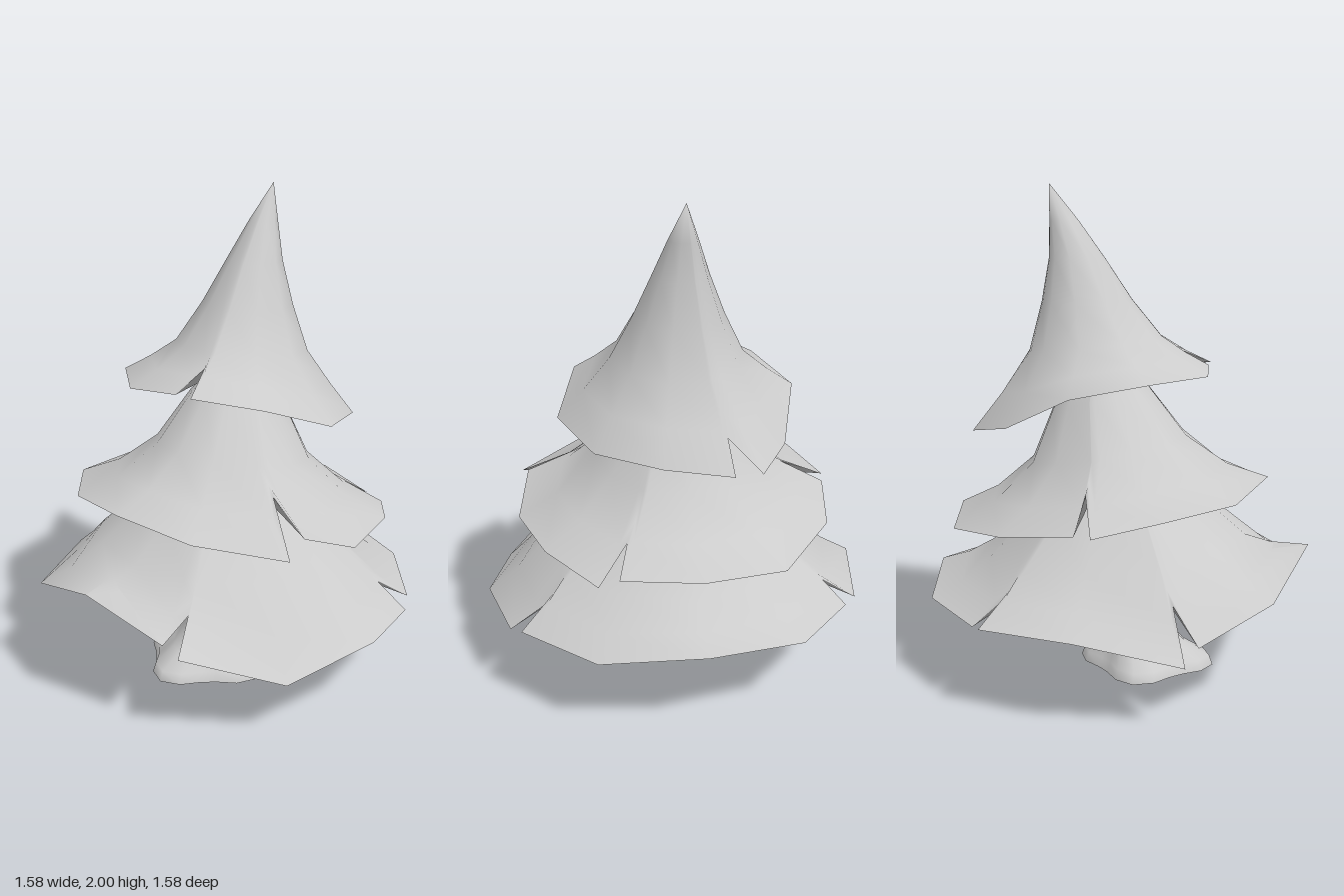
import * as THREE from 'three';
import { mergeVertices } from 'three/addons/utils/BufferGeometryUtils.js';

const material = new THREE.MeshStandardMaterial({ color: 0xcccccc, side: THREE.DoubleSide });

// Skin closed rows of [x, y, z] points, ordered from top to bottom
function loft(name, rows) {
  const n = rows[0].length, index = [];
  for (let i = 0; i < rows.length - 1; i++) {
    for (let j = 0; j < n; j++) {
      const a = i * n + j, b = i * n + (j + 1) % n;
      index.push(a, b, a + n, b, b + n, a + n);
    }
  }
  let geo = new THREE.BufferGeometry();
  geo.setAttribute('position', new THREE.Float32BufferAttribute(rows.flat(2), 3));
  geo.setIndex(index);
  geo = mergeVertices(geo);
  geo.computeVertexNormals();
  const mesh = new THREE.Mesh(geo, material);
  mesh.name = name;
  return mesh;
}

const mix = (p, q, t) => p.map((v, i) => v + (q[i] - v) * t);

// Bough tier: tilted rings [centreX, y, radius, tilt] flare out to a notched rim
function tier(name, rings, rim, centre, sag) {
  const angles = rim.map(p => Math.atan2(p[2] - centre[2], p[0] - centre[0]));
  const rows = rings.map(([cx, y, r, tilt]) => angles.map(a =>
    [cx + r * Math.cos(a), y - tilt * r * Math.cos(a), r * Math.sin(a)]));
  const last = rows[rows.length - 1];
  rows.push(rim.map((p, j) => {
    const m = mix(last[j], p, 0.5);
    m[1] -= sag * Math.min(1, Math.hypot(p[0] - last[j][0], p[2] - last[j][2]) / 0.3);
    return m;
  }));
  rows.push(rim);
  const group = new THREE.Group();
  group.name = name;
  group.add(loft(name + 'Top', rows));
  // shallow underside running from the rim to the trunk
  group.add(loft(name + 'Underside', [0, 0.5, 1].map(t => rim.map(p => mix(p, centre, t)))));
  return group;
}

// Trunk with flared root lobes
function trunk() {
  const rings = [ // centreX, y, radius, lobe depth
    [0.0, 0.6, 0.09, 0], [-0.06, 0.32, 0.115, 0], [-0.08, 0.17, 0.125, 0.005],
    [-0.1, 0.09, 0.17, 0.02], [-0.12, 0.04, 0.235, 0.035], [-0.12, 0, 0.25, 0.035],
  ];
  const n = 20;
  const rows = rings.map(([cx, y, r, lobe]) => Array.from({ length: n }, (_, i) => {
    const a = i / n * Math.PI * 2, d = r + lobe * Math.cos(4 * a);
    return [cx + d * Math.cos(a), y, d * Math.sin(a)];
  }));
  const base = rows[rows.length - 1];
  const group = new THREE.Group();
  group.name = 'trunk';
  group.add(loft('trunkBark', rows));
  group.add(loft('trunkBase', [base, base.map(() => [-0.12, 0, 0])]));
  return group;
}

export function createModel() {
  const tree = new THREE.Group();
  tree.name = 'tree';
  tree.add(trunk());

  // Lower boughs
  tree.add(tier('lowerBoughs',
    [[0.05, 1.0, 0, 0], [0.03, 0.88, 0.22, 0.1], [0.01, 0.7, 0.36, 0.08], [0.01, 0.54, 0.54, 0.08]],
    [[0.79, 0.39, 0], [0.68, 0.34, 0.41], [0.39, 0.335, 0.68], [0.31, 0.4, 0.58],
      [0.32, 0.31, 0.72], [0, 0.32, 0.79], [-0.4, 0.26, 0.68], [-0.7, 0.39, 0.4],
      [-0.56, 0.49, 0.32], [-0.7, 0.42, 0.32], [-0.79, 0.555, 0], [-0.69, 0.43, -0.4],
      [-0.44, 0.32, -0.63], [-0.33, 0.45, -0.56], [-0.4, 0.26, -0.69], [0, 0.36, -0.79],
      [0.39, 0.35, -0.7], [0.34, 0.42, -0.57], [0.43, 0.34, -0.65], [0.69, 0.35, -0.4]],
    [0, 0.57, 0], 0.02));

  // Middle boughs
  tree.add(tier('middleBoughs',
    [[0.1, 1.35, 0, 0], [0.08, 1.14, 0.2, 0.25], [0.045, 0.93, 0.325, 0.18]],
    [[0.69, 0.655, 0], [0.59, 0.64, 0.31], [0.46, 0.73, 0.26], [0.59, 0.62, 0.39],
      [0.36, 0.67, 0.57], [0.04, 0.67, 0.65], [-0.2, 0.77, 0.59], [-0.15, 0.87, 0.39],
      [-0.31, 0.72, 0.61], [-0.53, 0.77, 0.31], [-0.62, 0.83, 0], [-0.53, 0.79, -0.33],
      [-0.29, 0.77, -0.57], [-0.04, 0.72, -0.67], [0.03, 0.83, -0.46], [0.03, 0.72, -0.65],
      [0.34, 0.68, -0.58], [0.61, 0.63, -0.34]],
    [0.04, 0.86, 0], 0.03));

  // Upper boughs with the leaning tip
  tree.add(tier('upperBoughs',
    [[0.29, 2, 0, 0], [0.228, 1.85, 0.06, 0], [0.175, 1.7, 0.115, 0],
      [0.135, 1.53, 0.185, 0.03], [0.1, 1.36, 0.27, 0.11]],
    [[0.53, 1.06, 0.13], [0.38, 1.08, 0.37], [0.09, 1.12, 0.48], [-0.19, 1.23, 0.38],
      [-0.36, 1.27, 0.15], [-0.21, 1.34, 0.08], [-0.36, 1.27, 0.07], [-0.39, 1.255, -0.15],
      [-0.2, 1.25, -0.38], [0.09, 1.2, -0.48], [0.37, 1.06, -0.38], [0.55, 1.02, -0.25],
      [0.46, 1.14, -0.13], [0.56, 1.02, -0.14]],
    [0.09, 1.29, 0], 0.01));

  return tree;
}
